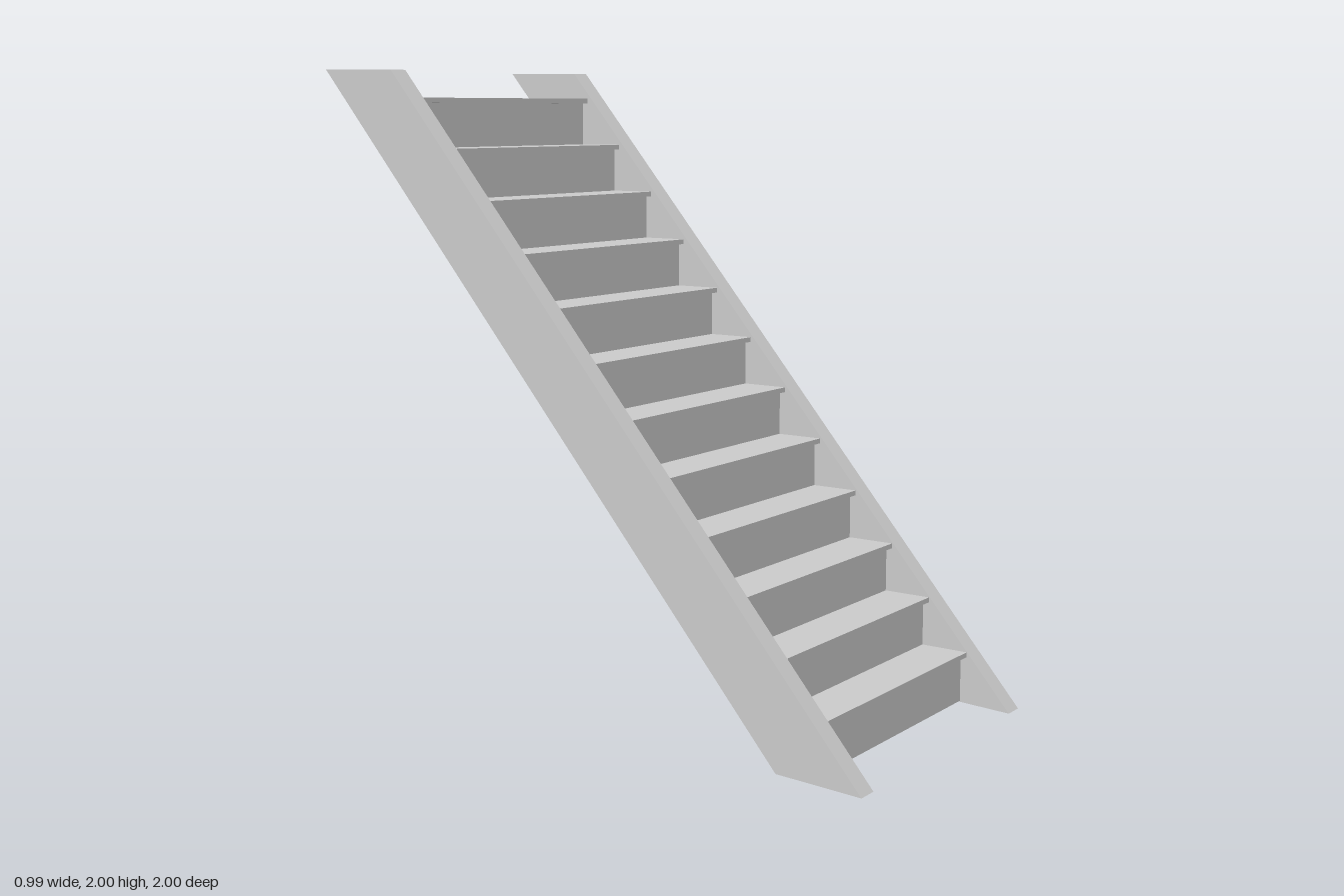
import * as THREE from 'three';

const STEPS = 12, RISE = 0.1577, RUN = 0.1369;
const FIRST_TOP = 0.176, FIRST_NOSE = 0.854;
const TREAD_DEPTH = 0.17, TREAD_THICK = 0.016;
const NOSING = 0.02, RISER_THICK = 0.013;
const LEFT = 0.415, RIGHT = -0.43;

export function createModel() {
  const group = new THREE.Group();
  const material = new THREE.MeshStandardMaterial({ color: 0xcccccc, flatShading: true });

  const add = (name, geometry) => {
    const mesh = new THREE.Mesh(geometry, material);
    mesh.name = name;
    group.add(mesh);
    return mesh;
  };

  // Full-width board between two heights and two depths
  const board = (name, y0, y1, z0, z1) => {
    const mesh = add(name, new THREE.BoxGeometry(LEFT - RIGHT, y1 - y0, z1 - z0));
    mesh.position.set((LEFT + RIGHT) / 2, (y0 + y1) / 2, (z0 + z1) / 2);
  };

  // Slanted side stringers: profile drawn in (-z, y), extruded across x
  const profile = new THREE.Shape([
    new THREE.Vector2(-1, 0),
    new THREE.Vector2(-0.72, 0.012),
    new THREE.Vector2(1, 2),
    new THREE.Vector2(0.717, 1.997),
  ]);
  const stringer = new THREE.ExtrudeGeometry(profile, { depth: 0.066, bevelEnabled: false });
  stringer.rotateY(Math.PI / 2);
  add('leftStringer', stringer).position.x = 0.425;
  add('rightStringer', stringer).position.x = -0.495;

  // Treads with a small nosing, each carried by a riser
  for (let i = 0; i < STEPS; i++) {
    const top = FIRST_TOP + i * RISE;
    const nose = FIRST_NOSE - i * RUN;
    const under = top - TREAD_THICK;
    const riserFront = nose - NOSING;
    const riserBottom = i === 0 ? 0.014 : top - RISE;
    board('tread' + (i + 1), under, top, nose - TREAD_DEPTH, nose);
    board('riser' + (i + 1), riserBottom, under, riserFront - RISER_THICK, riserFront);
  }
  return group;
}
